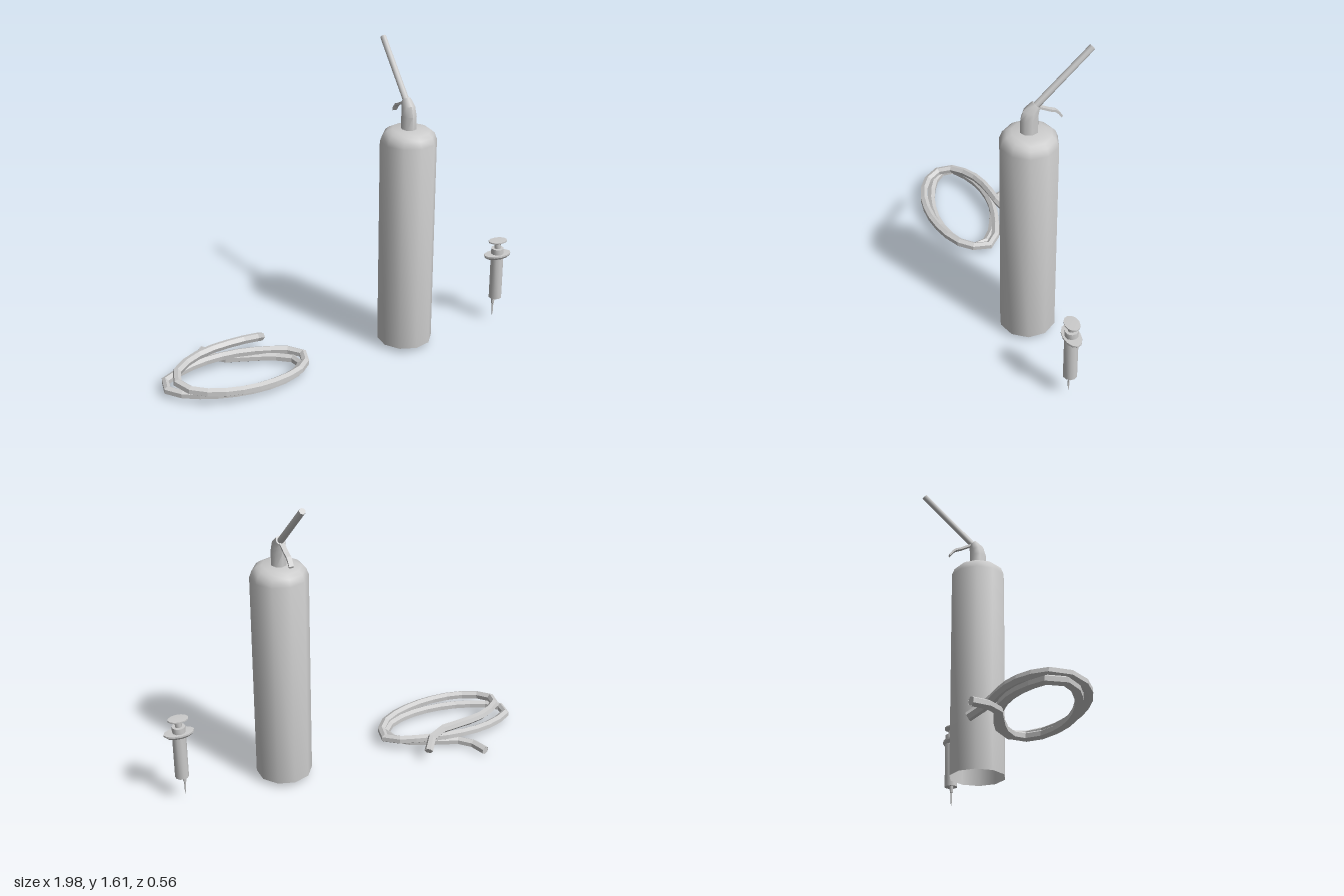
import * as THREE from 'three';
import { toCreasedNormals } from 'three/addons/utils/BufferGeometryUtils.js';

const smooth = new THREE.MeshStandardMaterial({ color: 0xcccccc, side: THREE.DoubleSide });
const faceted = new THREE.MeshStandardMaterial({ color: 0xcccccc, side: THREE.DoubleSide, flatShading: true });

function mesh(name, geometry, material = smooth) {
  const m = new THREE.Mesh(geometry, material);
  m.name = name;
  return m;
}

// Turned part from [radius, y] pairs listed bottom to top
function turned(name, profile, sides) {
  const points = profile.map(([r, y]) => new THREE.Vector2(r, y));
  return mesh(name, toCreasedNormals(new THREE.LatheGeometry(points, sides), 0.8));
}

function createCylinder() {
  const group = new THREE.Group();
  group.name = 'gasCylinder';

  // Bottle, open underneath, with a rounded shoulder
  group.add(turned('bottle', [
    [0.145, 0.03], [0.145, 1.15], [0.132, 1.185], [0.112, 1.202], [0.085, 1.213], [0, 1.214],
  ], 10));

  // Bent neck: rings of a cylinder moved along a curve; [y, z, radiusX, radiusZ, tilt]
  const rings = [
    [1.205, 0, 0.04, 0.045, 0],
    [1.28, 0, 0.038, 0.045, 0.05],
    [1.32, -0.009, 0.034, 0.041, 0.35],
    [1.352, -0.033, 0.025, 0.025, 0.78],
  ];
  const neck = new THREE.CylinderGeometry(1, 1, 1, 8, rings.length - 1);
  const pos = neck.attributes.position;
  for (let i = 0; i < pos.count; i++) {
    const [y, z, rx, rz, tilt] = rings[Math.round((pos.getY(i) + 0.5) * (rings.length - 1))];
    const dz = pos.getZ(i) * rz;
    pos.setXYZ(i, pos.getX(i) * rx, y + dz * Math.sin(tilt), z + dz * Math.cos(tilt));
  }
  group.add(mesh('neck', toCreasedNormals(neck, 0.9)));

  // Straight nozzle pointing up and back
  const from = new THREE.Vector3(0, 1.343, -0.027);
  const to = new THREE.Vector3(0, 1.605, -0.305);
  const dir = to.clone().sub(from);
  const nozzle = mesh('nozzle', toCreasedNormals(new THREE.CylinderGeometry(0.016, 0.017, dir.length(), 8), 0.9));
  nozzle.position.copy(from).add(to).multiplyScalar(0.5);
  nozzle.quaternion.setFromUnitVectors(new THREE.Vector3(0, 1, 0), dir.normalize());
  group.add(nozzle);

  // Thin curved trigger behind the neck
  const upper = [[0.04, 1.347], [0.075, 1.33], [0.1, 1.317], [0.13, 1.306], [0.146, 1.292], [0.163, 1.268]];
  const lower = upper.map(([x, y]) => [x - 0.005, y - 0.01]).reverse();
  const shape = new THREE.Shape([...upper, ...lower].map(([x, y]) => new THREE.Vector2(x, y)));
  const trigger = new THREE.ExtrudeGeometry(shape, { depth: 0.024, bevelEnabled: false });
  trigger.translate(0, 0, -0.012).rotateY(Math.PI / 2);
  group.add(mesh('trigger', trigger, faceted));

  group.position.set(0.36, 0, 0.03);
  return group;
}

function createSyringe() {
  const group = new THREE.Group();
  group.name = 'syringe';
  group.add(turned('barrel', [[0, 0.145], [0.035, 0.145], [0.035, 0.395]], 10));
  group.add(turned('collar', [[0.034, 0.41], [0.034, 0.441], [0, 0.441]], 10));
  group.add(turned('plungerRod', [[0.018, 0.44], [0.018, 0.473]], 8));

  // Oval finger flange and thumb rest
  const flange = turned('fingerFlange', [[0, 0.388], [0.066, 0.388], [0.079, 0.4], [0.079, 0.409], [0, 0.411]], 12);
  flange.scale.z = 0.56;
  const rest = turned('thumbRest', [[0, 0.464], [0.024, 0.467], [0.053, 0.479], [0.053, 0.486], [0, 0.488]], 12);
  rest.scale.z = 0.7;
  group.add(flange, rest);

  // Hub and needle, slightly off centre
  const needle = turned('needle', [[0, 0.03], [0.004, 0.06], [0.005, 0.108], [0.008, 0.11], [0.011, 0.147]], 8);
  needle.position.x = -0.013;
  group.add(needle);

  group.position.set(0.917, 0, 0.026);
  return group;
}

function createHose() {
  const group = new THREE.Group();
  group.name = 'coiledHose';
  const path = new THREE.CatmullRomCurve3([
    // Loose lower end
    [-0.68, 0.028, -0.27], [-0.655, 0.03, -0.19], [-0.6, 0.032, -0.13], [-0.46, 0.035, -0.08],
    // First loop
    [-0.32, 0.037, -0.01], [-0.255, 0.04, 0.07], [-0.32, 0.038, 0.16], [-0.48, 0.036, 0.215],
    [-0.65, 0.036, 0.215], [-0.82, 0.038, 0.17], [-0.95, 0.042, 0.09], [-0.975, 0.045, 0.01],
    [-0.88, 0.05, -0.06], [-0.72, 0.058, -0.105], [-0.55, 0.065, -0.105], [-0.36, 0.065, -0.06],
    // Second loop
    [-0.24, 0.06, 0.0], [-0.225, 0.055, 0.06], [-0.3, 0.06, 0.17], [-0.45, 0.063, 0.235],
    [-0.62, 0.068, 0.255], [-0.79, 0.076, 0.225], [-0.9, 0.085, 0.15], [-0.925, 0.1, 0.06],
    [-0.86, 0.112, -0.02], [-0.74, 0.12, -0.085], [-0.6, 0.126, -0.11],
    // Loose upper end
    [-0.47, 0.123, -0.125], [-0.4, 0.1, -0.16], [-0.37, 0.072, -0.205],
  ].map((p) => new THREE.Vector3(...p)));
  group.add(mesh('hose', new THREE.TubeGeometry(path, 44, 0.023, 6), faceted));

  // Closed ends
  for (const t of [0, 1]) {
    const cap = mesh('hoseEnd', new THREE.CircleGeometry(0.022, 6), faceted);
    const end = path.getPointAt(t);
    cap.position.copy(end);
    cap.lookAt(end.clone().addScaledVector(path.getTangentAt(t), t ? 1 : -1));
    group.add(cap);
  }
  return group;
}

export function createModel() {
  const model = new THREE.Group();
  model.name = 'gasCylinderSet';
  model.add(createCylinder(), createSyringe(), createHose());
  return model;
}
